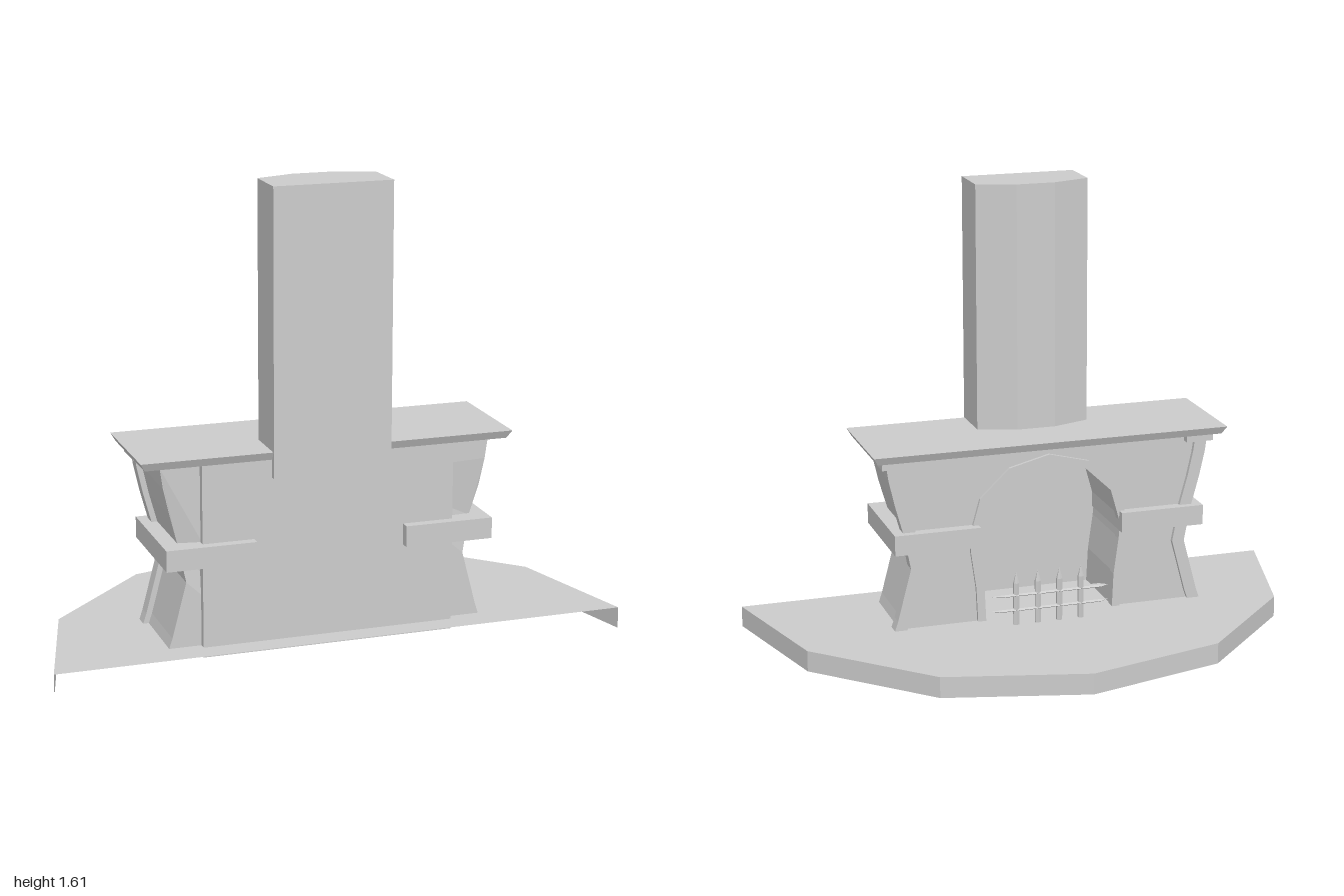
import * as THREE from 'three';

const CX = -0.035; // the fireplace stands slightly off the hearth centre
const mat = new THREE.MeshStandardMaterial({ color: 0xcccccc, flatShading: true, side: THREE.DoubleSide });

function add(parent, name, geometry, x = 0, y = 0, z = 0) {
  const mesh = new THREE.Mesh(geometry, mat);
  mesh.name = name;
  mesh.position.set(x, y, z);
  parent.add(mesh);
  return mesh;
}

function box(parent, name, x0, x1, y0, y1, z0, z1) {
  return add(parent, name, new THREE.BoxGeometry(x1 - x0, y1 - y0, z1 - z0),
    (x0 + x1) / 2, (y0 + y1) / 2, (z0 + z1) / 2);
}

const toShape = (pts) => new THREE.Shape(pts.map(([x, y]) => new THREE.Vector2(x, y)));

// Upright outline (x, y) extruded from z0 to z1
function slab(pts, z0, z1) {
  return new THREE.ExtrudeGeometry(toShape(pts), { depth: z1 - z0, bevelEnabled: false }).translate(0, 0, z0);
}

// Waisted side profile as [half width, height]
const PROFILE = [[0.575, 0.065], [0.56, 0.11], [0.51, 0.3], [0.535, 0.43], [0.565, 0.54], [0.585, 0.63], [0.595, 0.7]];
const profile = (inset) => PROFILE.map(([w, y]) => [w - inset, y]);
const mirror = (pts) => pts.map(([x, y]) => [-x, y]);

// Arch line from the right foot over the top to the left foot
function arch(r, foot) {
  const pts = [[r - 0.03, foot], [r - 0.023, 0.2], [r - 0.005, 0.33]];
  for (let i = 0; i <= 6; i++) {
    const a = (i / 6) * Math.PI;
    pts.push([r * Math.cos(a), 0.39 + r * 0.95 * Math.sin(a)]);
  }
  return pts.concat(mirror(pts.slice(0, 3)).reverse());
}

function createHearth(group) {
  const pts = [[-1, 0.5], [-0.87, 0], [-0.5, -0.37], [0, -0.5], [0.5, -0.37], [0.87, 0], [1, 0.5]];
  const h = 0.075;
  const top = new THREE.ShapeGeometry(toShape(pts.map(([x, z]) => [x, -z]))).rotateX(-Math.PI / 2);
  add(group, 'hearthTop', top, 0, h, 0);
  // Rim around the back and sides, open along the front
  const pos = [], idx = [];
  pts.forEach(([x, z], i) => {
    pos.push(x, 0, z, x, h, z);
    if (i) { const b = 2 * i; idx.push(b - 2, b - 1, b, b, b - 1, b + 1); }
  });
  const rim = new THREE.BufferGeometry();
  rim.setAttribute('position', new THREE.Float32BufferAttribute(pos, 3));
  rim.setIndex(idx);
  rim.computeVertexNormals();
  add(group, 'hearthRim', rim);
}

function createSurround(g) {
  // Waisted body with an arched firebox opening
  const side = profile(0.02);
  const outline = [...side, ...mirror(side).reverse(), ...arch(0.27, 0.065).reverse()];
  const body = slab(outline, 0.1, 0.395);
  const p = body.attributes.position;
  for (let i = 0; i < p.count; i++) {
    const y = p.getY(i);
    if (p.getZ(i) > 0.3 && Math.abs(p.getX(i)) > 0.4 && y > 0.35 && y < 0.5) p.setZ(i, 0.382);
  }
  body.computeVertexNormals();
  add(g, 'body', body);
  box(g, 'frontPanel', -0.44, 0.44, 0.04, 0.705, 0.385, 0.42);

  // Raised trim around the arch
  add(g, 'archTrim', slab([...arch(0.295, 0.04), ...arch(0.265, 0.04).reverse()], 0.088, 0.125));

  for (const s of [1, -1]) {
    const flip = (pts) => pts.map(([x, y]) => [s * x, y]);
    const post = flip([...profile(0), ...profile(0.045).reverse()]);
    add(g, 'cornerPost', slab(post, 0.085, 0.135));
    const span = (a, b) => (s > 0 ? [a, b] : [-b, -a]);
    box(g, 'postCap', ...span(0.51, 0.61), 0.672, 0.708, 0.07, 0.185);
    box(g, 'sideBand', ...span(0.262, 0.572), 0.362, 0.435, 0.06, 0.453);
  }

  // Mantel shelf, narrower underneath
  const shelf = new THREE.BoxGeometry(1.296, 0.028, 0.405);
  const q = shelf.attributes.position;
  for (let i = 0; i < q.count; i++) {
    if (q.getY(i) < 0) q.setXYZ(i, q.getX(i) * 0.975, q.getY(i), q.getZ(i) * 0.93);
  }
  shelf.computeVertexNormals();
  add(g, 'mantel', shelf, 0, 0.716, 0.2325);
}

function createChimney(g) {
  const plan = [[-0.205, 0.44], [0.205, 0.44], [0.205, 0.272], [0.07, 0.225], [-0.07, 0.225], [-0.205, 0.272]];
  const geo = slab(plan.map(([x, z]) => [x, -z]), 0, 0.97).rotateX(-Math.PI / 2);
  add(g, 'chimney', geo, 0.005, 0.64, 0);
}

function createGrate(group) {
  const z = 0.024;
  for (let i = 0; i < 4; i++) {
    const x = 0.11 - i * 0.08;
    add(group, 'grateBar', new THREE.CylinderGeometry(0.011, 0.011, 0.17, 6), x, 0.145, z);
    add(group, 'grateBarTip', new THREE.ConeGeometry(0.011, 0.042, 6), x, 0.251, z);
  }
  // Flat rails with tapered ends
  const rail = [[0, -0.217], [0.016, -0.185], [0.016, 0.185], [0, 0.217]].map(([r, y]) => new THREE.Vector2(r, y));
  for (const y of [0.13, 0.185]) {
    const geo = new THREE.LatheGeometry(rail, 6).rotateZ(Math.PI / 2).scale(1, 0.35, 1);
    add(group, 'grateRail', geo, -0.018, y, z + 0.004);
  }
}

export function createModel() {
  const model = new THREE.Group();
  model.name = 'fireplace';
  createHearth(model);
  const surround = new THREE.Group();
  surround.name = 'surround';
  surround.position.x = CX;
  createSurround(surround);
  createChimney(surround);
  model.add(surround);
  createGrate(model);
  return model;
}
